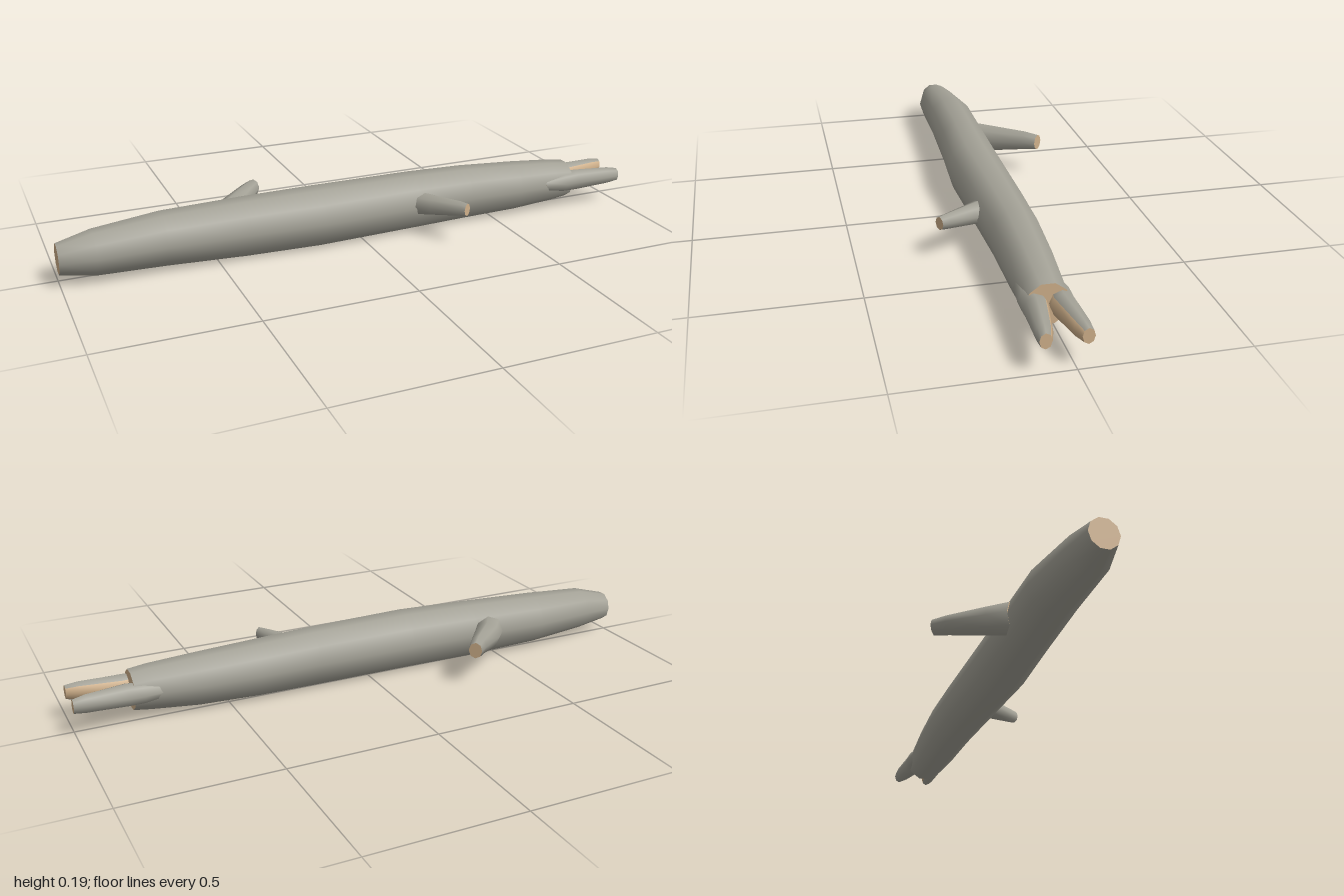
import * as THREE from 'three';

const bark = new THREE.MeshStandardMaterial({ color: 0xa3a196 });
bark.name = 'bark';
const wood = new THREE.MeshStandardMaterial({ color: 0xcfb08a });
wood.name = 'cutWood';

// Lofts elliptical rings [x, y, z, halfWidth, halfHeight] set square to dir.
// Sides are smooth, both ends are flat cuts; bareSides lists sides without bark.
function loft(name, rings, dir, sides, bareSides = []) {
  const w = new THREE.Vector3().crossVectors(dir, new THREE.Vector3(0, 1, 0)).normalize();
  const u = new THREE.Vector3().crossVectors(w, dir).normalize();
  const pos = [], barkIdx = [], woodIdx = [];
  const addRing = ([x, y, z, hw, hh]) => {
    const start = pos.length / 3;
    for (let j = 0; j < sides; j++) {
      const a = (j / sides) * Math.PI * 2;
      const p = new THREE.Vector3(x, y, z)
        .addScaledVector(w, Math.cos(a) * hw)
        .addScaledVector(u, Math.sin(a) * hh);
      pos.push(p.x, p.y, p.z);
    }
    return start;
  };
  const starts = rings.map(addRing);
  for (let i = 0; i < rings.length - 1; i++) {
    for (let j = 0; j < sides; j++) {
      const k = (j + 1) % sides;
      const a = starts[i] + j, b = starts[i] + k;
      const c = starts[i + 1] + j, d = starts[i + 1] + k;
      (bareSides.includes(j) ? woodIdx : barkIdx).push(a, c, b, b, c, d);
    }
  }
  // End cuts use their own vertices so their edges stay sharp
  [rings[0], rings[rings.length - 1]].forEach((ring, end) => {
    const s = addRing(ring);
    for (let j = 1; j < sides - 1; j++) {
      if (end) woodIdx.push(s, s + j + 1, s + j);
      else woodIdx.push(s, s + j, s + j + 1);
    }
  });
  const geo = new THREE.BufferGeometry();
  geo.setAttribute('position', new THREE.Float32BufferAttribute(pos, 3));
  geo.setIndex([...barkIdx, ...woodIdx]);
  geo.addGroup(0, barkIdx.length, 0);
  geo.addGroup(barkIdx.length, woodIdx.length, 1);
  geo.computeVertexNormals();
  const mesh = new THREE.Mesh(geo, [bark, wood]);
  mesh.name = name;
  return mesh;
}

export function createModel() {
  const log = new THREE.Group();
  log.name = 'log';
  const along = new THREE.Vector3(1, 0, 0);

  // Trunk, slightly bowed and tapered at both ends
  log.add(loft('trunk', [
    [-1.0, 0.09, 0.026, 0.047, 0.05],
    [-0.89, 0.096, 0.03, 0.07, 0.074],
    [-0.67, 0.1, 0.016, 0.086, 0.089],
    [-0.4, 0.1, 0.022, 0.088, 0.099],
    [-0.15, 0.102, 0.03, 0.095, 0.102],
    [0.2, 0.102, 0.022, 0.088, 0.099],
    [0.4, 0.1, 0.018, 0.084, 0.094],
    [0.6, 0.097, 0.023, 0.078, 0.086],
    [0.75, 0.098, 0.029, 0.07, 0.074],
    [0.81, 0.098, 0.03, 0.066, 0.066],
  ], along, 10));

  // Forked end: two splinters with bare wood on the inner sides
  for (const side of [1, -1]) {
    const rings = [
      [0.7, 0.1, 0.05, 0.02, 0.022],
      [0.78, 0.1, 0.043, 0.036, 0.036],
      [0.83, 0.1, 0.039, 0.038, 0.038],
      [0.96, 0.103, 0.053, 0.026, 0.031],
      [1.0, 0.103, 0.058, 0.018, 0.024],
    ].map(([x, y, z, hw, hh]) => [x, y, 0.03 + side * z, hw, hh]);
    log.add(loft(side > 0 ? 'frontSplinter' : 'backSplinter', rings, along, 8,
      side > 0 ? [3, 4] : [0, 7]));
  }

  // Broken branch stubs
  log.add(loft('backBranch', [
    [-0.46, 0.105, -0.03, 0.055, 0.056],
    [-0.42, 0.108, -0.09, 0.046, 0.05],
    [-0.32, 0.127, -0.197, 0.029, 0.035],
    [-0.285, 0.13, -0.236, 0.023, 0.028],
  ], new THREE.Vector3(1, 0, -1), 8));
  log.add(loft('frontBranch', [
    [0.2, 0.107, 0.07, 0.045, 0.042],
    [0.237, 0.114, 0.13, 0.033, 0.035],
    [0.29, 0.124, 0.213, 0.022, 0.026],
    [0.303, 0.126, 0.237, 0.018, 0.022],
  ], new THREE.Vector3(0.53, 0, 0.85), 8));

  return log;
}
